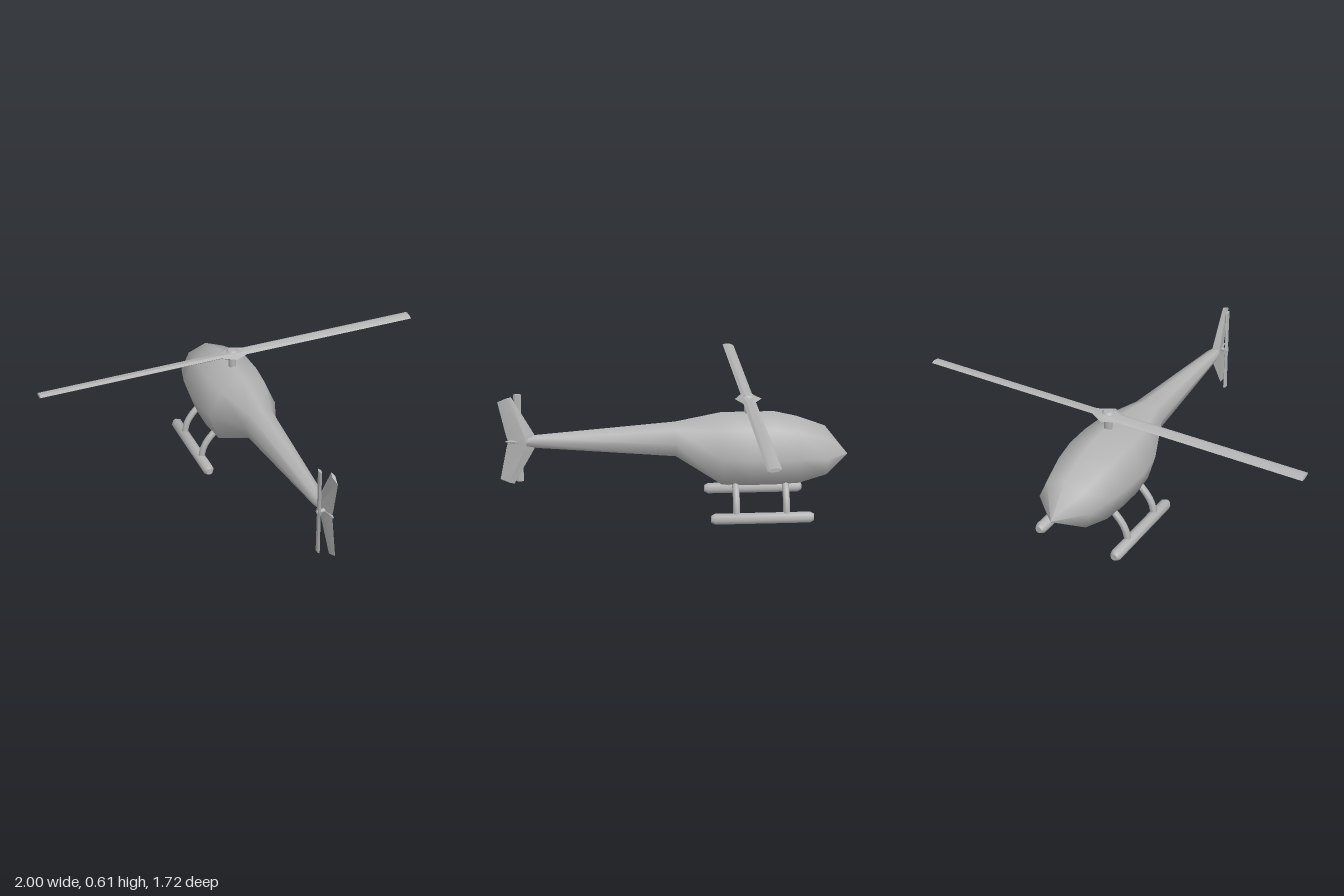
import * as THREE from 'three';
import { toCreasedNormals } from 'three/addons/utils/BufferGeometryUtils.js';

const grey = new THREE.MeshStandardMaterial({ color: 0xb4b4b4 });
grey.name = 'grey paint';

// Skin a list of rings (arrays of [x, y, z]); both ends close onto their centres.
function loft(rings, crease) {
  const n = rings[0].length;
  const pos = rings.flat(2);
  const idx = [];
  for (let r = 0; r < rings.length - 1; r++) {
    for (let j = 0; j < n; j++) {
      const k = (j + 1) % n;
      const a = r * n + j, b = r * n + k, c = b + n, d = a + n;
      idx.push(a, b, c, a, c, d);
    }
  }
  [rings[0], rings[rings.length - 1]].forEach((ring, end) => {
    const centre = pos.length / 3;
    const base = end ? (rings.length - 1) * n : 0;
    for (let i = 0; i < 3; i++) pos.push(ring.reduce((s, p) => s + p[i], 0) / n);
    for (let j = 0; j < n; j++) {
      const k = (j + 1) % n;
      if (end) idx.push(centre, base + j, base + k);
      else idx.push(centre, base + k, base + j);
    }
  });
  const g = new THREE.BufferGeometry();
  g.setAttribute('position', new THREE.Float32BufferAttribute(pos, 3));
  g.setIndex(idx);
  g.computeVertexNormals();
  return crease ? toCreasedNormals(g, crease) : g;
}

export function createModel() {
  const model = new THREE.Group();
  const add = (name, geometry, x = 0, y = 0, z = 0) => {
    const mesh = new THREE.Mesh(geometry, grey);
    mesh.name = name;
    mesh.position.set(x, y, z);
    model.add(mesh);
    return mesh;
  };

  // Fuselage: z, half width, top, middle, bottom (nose at -z)
  const stations = [
    [-0.857, 0.003, 0.283, 0.28, 0.277],
    [-0.74, 0.14, 0.43, 0.3, 0.19],
    [-0.6, 0.178, 0.482, 0.315, 0.148],
    [-0.49, 0.192, 0.508, 0.315, 0.146],
    [-0.36, 0.195, 0.51, 0.315, 0.146],
    [-0.22, 0.175, 0.508, 0.32, 0.146],
    [0, 0.085, 0.465, 0.375, 0.29],
    [0.68, 0.033, 0.41, 0.377, 0.345],
    [0.83, 0.003, 0.38, 0.377, 0.374],
  ];
  add('fuselage', loft(stations.map(([z, w, top, mid, low]) => {
    const up = mid + (top - mid) * 0.71, down = mid - (mid - low) * 0.8;
    return [
      [w, mid, z], [w * 0.68, up, z], [0, top, z], [-w * 0.68, up, z],
      [-w, mid, z], [-w * 0.76, down, z], [0, low, z], [w * 0.76, down, z],
    ];
  })));

  // Swept tail fin: height of front edge, of back edge, front z, back z, half thickness
  const fin = [
    [0.157, 0.183, 0.795, 0.862, 0.008],
    [0.34, 0.34, 0.69, 0.828, 0.02],
    [0.378, 0.378, 0.685, 0.818, 0.024],
    [0.414, 0.414, 0.69, 0.828, 0.02],
    [0.605, 0.58, 0.795, 0.862, 0.008],
  ];
  add('tailFin', loft(fin.map(([yf, yb, zf, zb, t]) => {
    const ym = yf + (yb - yf) * 0.35, zm = zf + (zb - zf) * 0.35;
    return [[0, yb, zb], [t, ym, zm], [0, yf, zf], [-t, ym, zm]];
  }), 0.6));

  // Main rotor: one lens-section bar, widened at the hub, blades pitched opposite ways
  const span = [
    [-1, 0.031, 0.008, -0.12], [-0.07, 0.03, 0.009, -0.12], [0, 0.066, 0.017, 0],
    [0.07, 0.03, 0.009, 0.12], [1, 0.031, 0.008, 0.12],
  ];
  const lens = [[1, 0], [0.5, 1], [-0.5, 1], [-1, 0], [-0.5, -1], [0.5, -1]];
  const rotor = loft(span.map(([z, chord, thick, pitch]) => lens.map(([u, v]) => {
    const x = u * chord, y = v * thick;
    const c = Math.cos(pitch), s = Math.sin(pitch);
    return [x * c - y * s, x * s + y * c, z];
  })), 0.5);
  rotor.rotateY(Math.PI / 2);
  add('mainRotor', rotor, 0, 0.574, -0.358);
  add('rotorMast', new THREE.CylinderGeometry(0.02, 0.02, 0.09, 8), 0, 0.525, -0.358);
  add('rotorCap', new THREE.CylinderGeometry(0.022, 0.032, 0.012, 8), 0, 0.592, -0.358);

  // Tail rotor beside the fin
  const tailBlade = loft([[-0.225, 0.019], [-0.02, 0.015], [0, 0.026], [0.02, 0.015], [0.225, 0.019]]
    .map(([z, c]) => lens.map(([u, v]) => [v * 0.006, -u * c, z])), 0.5);
  tailBlade.rotateX(-Math.PI / 2);
  add('tailRotor', tailBlade, -0.042, 0.38, 0.768);
  const axle = new THREE.CylinderGeometry(0.01, 0.01, 0.052, 8);
  axle.rotateZ(Math.PI / 2);
  add('tailRotorAxle', axle, -0.026, 0.38, 0.765);

  // Landing skids with bent struts
  for (const side of [1, -1]) {
    const profile = [[0, -0.251], [0.018, -0.251], [0.029, -0.232],
      [0.029, 0.232], [0.018, 0.251], [0, 0.251]];
    const skid = new THREE.LatheGeometry(profile.map(([r, y]) => new THREE.Vector2(r, y)), 8);
    skid.rotateX(Math.PI / 2);
    add('skid', toCreasedNormals(skid, 0.9), side * 0.209, 0.029, -0.415);

    for (const z of [-0.288, -0.533]) {
      const path = new THREE.CatmullRomCurve3([[0.115, 0.19], [0.155, 0.155], [0.192, 0.1], [0.209, 0.03]]
        .map(([x, y]) => new THREE.Vector3(side * x, y, z)));
      add('skidStrut', new THREE.TubeGeometry(path, 6, 0.017, 8));
    }
  }
  return model;
}
